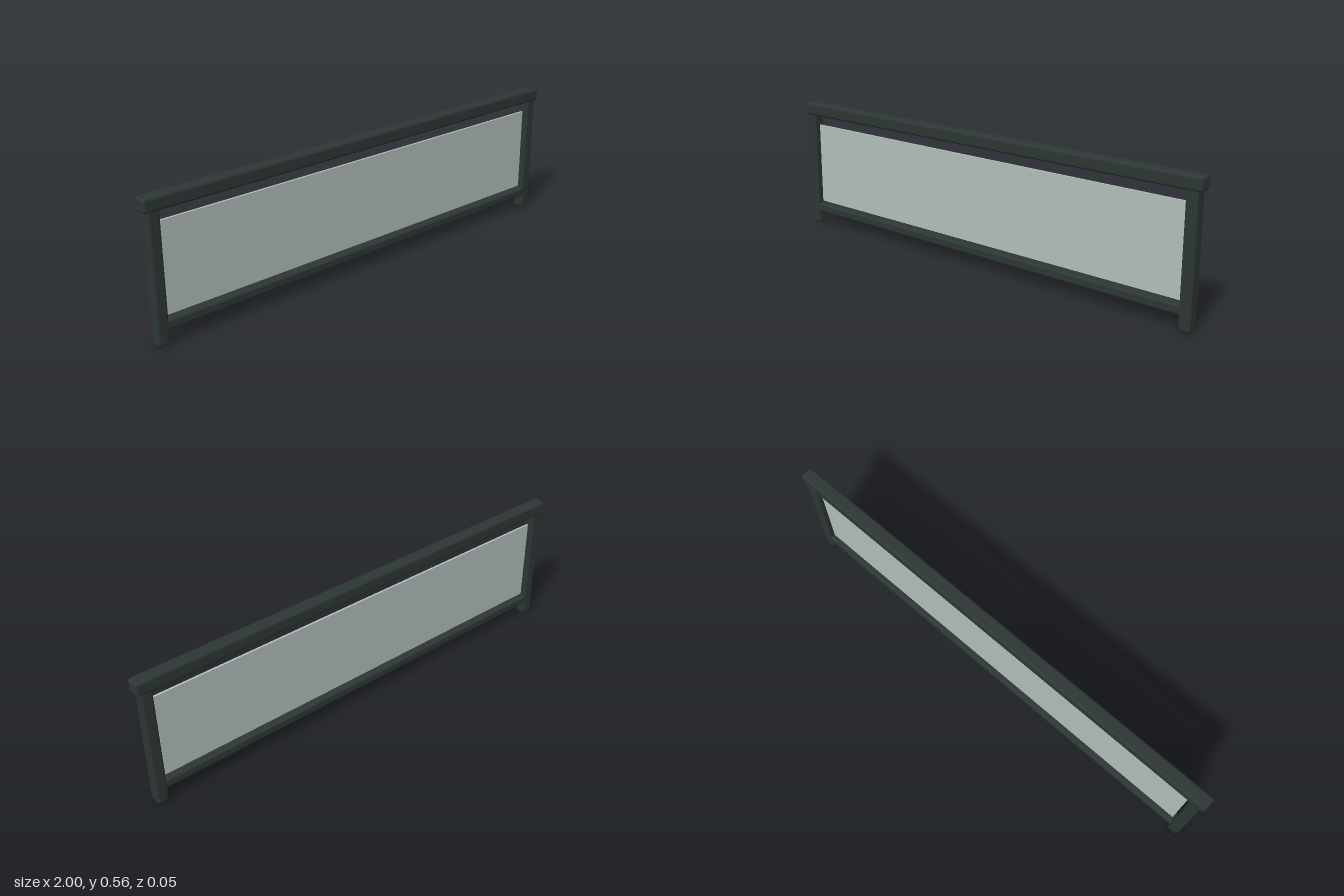
import * as THREE from 'three';
import { RoundedBoxGeometry } from 'three/addons/geometries/RoundedBoxGeometry.js';

export function createModel() {
  const group = new THREE.Group();
  group.name = 'glassRailing';

  const metal = new THREE.MeshStandardMaterial({ color: 0x2d3735 });
  metal.name = 'dark metal';
  const glass = new THREE.MeshStandardMaterial({ color: 0xb2bebb });
  glass.name = 'pale glass';

  // Rounded bar spanning the given x and y ranges, centred on z = 0
  function bar(name, x0, x1, y0, y1, depth, radius) {
    const geometry = new RoundedBoxGeometry(x1 - x0, y1 - y0, depth, 3, radius);
    const mesh = new THREE.Mesh(geometry, metal);
    mesh.name = name;
    mesh.position.set((x0 + x1) / 2, (y0 + y1) / 2, 0);
    group.add(mesh);
  }

  // Handrail and lower rail
  bar('topRail', -1, 1, 0.503, 0.558, 0.055, 0.011);
  bar('bottomRail', -0.946, 0.946, 0.056, 0.094, 0.048, 0.009);

  // End posts
  bar('leftPost', 0.937, 0.985, 0, 0.515, 0.049, 0.01);
  bar('rightPost', -0.985, -0.937, 0, 0.515, 0.049, 0.01);

  // Glass infill, with a narrow gap all round
  const panel = new THREE.Mesh(new THREE.BoxGeometry(1.86, 0.355, 0.009), glass);
  panel.name = 'glassPanel';
  panel.position.y = 0.282;
  group.add(panel);

  return group;
}
